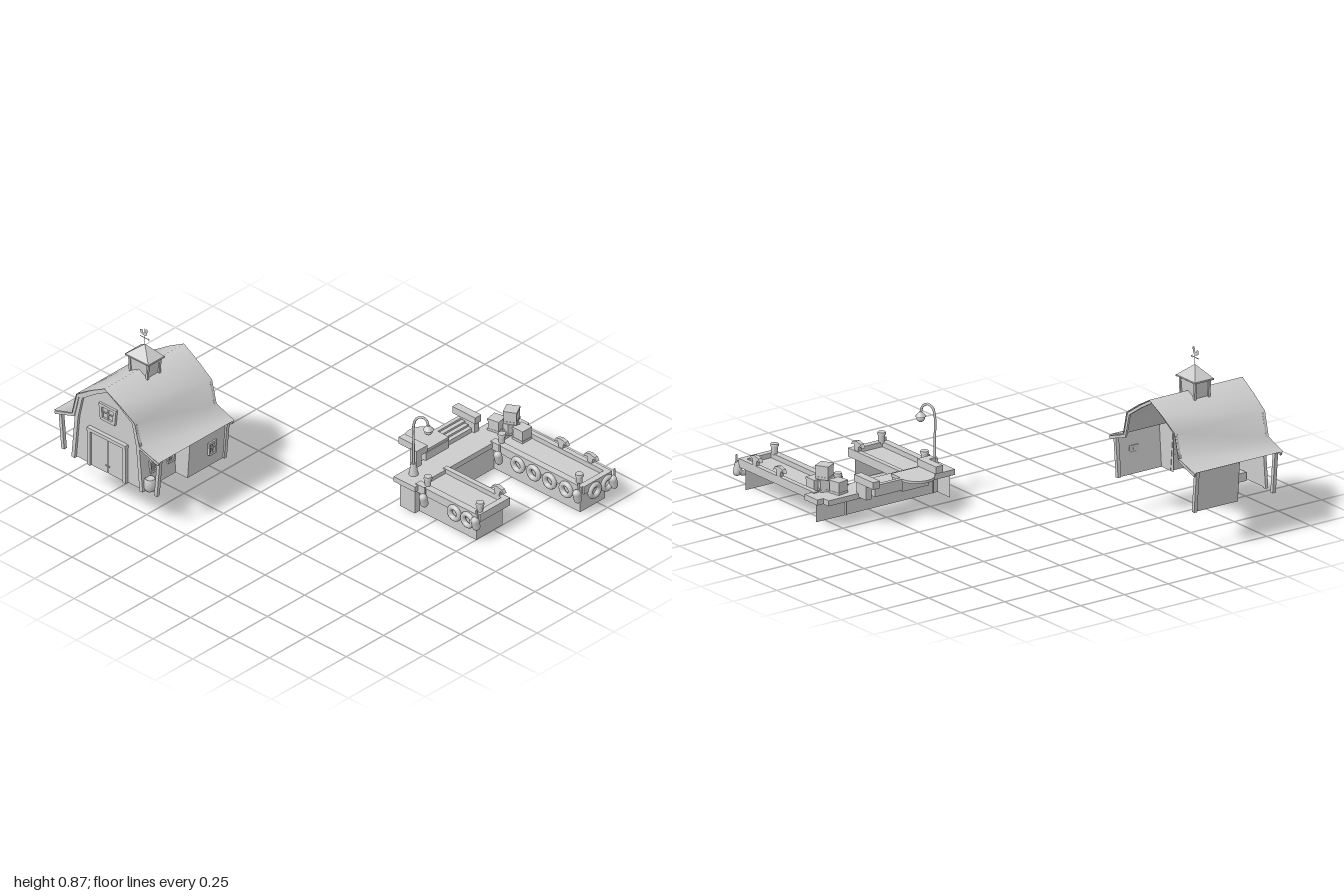
import * as THREE from 'three';

const mat = new THREE.MeshStandardMaterial({ color: 0xcccccc });
const flat = new THREE.MeshStandardMaterial({ color: 0xcccccc, flatShading: true });
const thin = new THREE.MeshStandardMaterial({ color: 0xcccccc, side: THREE.DoubleSide });

function add(parent, name, geo, x = 0, y = 0, z = 0, m = mat) {
  const mesh = new THREE.Mesh(geo, m);
  mesh.name = name;
  mesh.position.set(x, y, z);
  parent.add(mesh);
  return mesh;
}
// Box given by its min and max corners
function span(parent, name, x0, x1, y0, y1, z0, z1) {
  return add(parent, name, new THREE.BoxGeometry(x1 - x0, y1 - y0, z1 - z0),
    (x0 + x1) / 2, (y0 + y1) / 2, (z0 + z1) / 2);
}
const outline = points => new THREE.Shape(points.map(p => new THREE.Vector2(...p)));
const sheet = points => new THREE.ShapeGeometry(outline(points));
// Extruded outline of [x, y] points, from z = 0 to depth
function plate(points, depth, hole) {
  const s = outline(points);
  if (hole) s.holes.push(outline(hole));
  return new THREE.ExtrudeGeometry(s, { depth, bevelEnabled: false });
}
// Completes a right half profile that ends on the centre line
const mirror = half => [...half, ...half.slice(0, -1).reverse().map(([x, y]) => [-x, y])];
const cyl = (a, b, h, n = 10) => new THREE.CylinderGeometry(a, b, h, n);
// Straight beam between two points in the xy plane
function beam(parent, name, a, b, width, depth, z) {
  const dx = b[0] - a[0], dy = b[1] - a[1];
  const m = add(parent, name, new THREE.BoxGeometry(Math.hypot(dx, dy) + width * 0.4, width, depth),
    (a[0] + b[0]) / 2, (a[1] + b[1]) / 2, z);
  m.rotation.z = Math.atan2(dy, dx);
}
// Thin walls facing +z and +x
const wallZ = (parent, name, x0, x1, h, z) =>
  add(parent, name, new THREE.PlaneGeometry(x1 - x0, h), (x0 + x1) / 2, h / 2, z, thin);
function wallX(parent, name, z0, z1, h, x, lean = 0) {
  const geo = new THREE.PlaneGeometry(z1 - z0, h).rotateY(Math.PI / 2);
  add(parent, name, geo, x, h / 2, (z0 + z1) / 2, thin).rotation.z = lean;
}

// Small window, wider at the top, facing +z
function makeWindow(w, h) {
  const g = new THREE.Group();
  g.name = 'window';
  const q = (a, b) => [[-a * 0.42, -b / 2], [a * 0.42, -b / 2], [a / 2, b / 2], [-a / 2, b / 2]];
  add(g, 'windowFrame', plate(q(w, h), 0.012, q(w * 0.68, h * 0.66)));
  add(g, 'windowPane', sheet(q(w * 0.7, h * 0.7)), 0, 0, 0.003, thin);
  span(g, 'windowBar', -0.003, 0.003, -h * 0.34, h * 0.34, 0, 0.008);
  span(g, 'windowBar', -w * 0.34, w * 0.34, -0.003, 0.003, 0, 0.008);
  return g;
}

function makeBarrel(r, h) {
  const pts = [[0, 0], [0.8, 0], [0.95, 0.25], [1, 0.5], [0.95, 0.75], [0.8, 1], [0.7, 1], [0.7, 0.94], [0, 0.94]];
  return new THREE.LatheGeometry(pts.map(([a, b]) => new THREE.Vector2(a * r, b * h)), 12);
}

function makeBarn() {
  const g = new THREE.Group();
  g.name = 'barn';
  // Smooth gambrel roof with flared eaves, a little longer at the ridge
  const line = mirror([[0.332, 0.205], [0.215, 0.243], [0.185, 0.36], [0.09, 0.422], [0, 0.472]]).reverse();
  const roof = new THREE.PlaneGeometry(1, 1, line.length - 1, 1);
  const p = roof.attributes.position;
  for (let i = 0; i < p.count; i++) {
    const [x, y] = line[i % line.length];
    p.setXYZ(i, x, y, (i < line.length ? -1 : 1) * (0.267 - 0.04 * Math.abs(x)));
  }
  roof.computeVertexNormals();
  add(g, 'roof', roof, 0, 0, 0, thin);
  for (const z of [-0.247, 0.247]) for (let i = 0; i < line.length - 1; i++)
    beam(g, 'roofEdge', [line[i][0] * 0.98, line[i][1] - 0.011], [line[i + 1][0] * 0.98, line[i + 1][1] - 0.011], 0.014, 0.01, z);

  // Front wall with trim under the roof; the rear is open
  const gable = [[0.222, 0], [0.2, 0.23], [0.172, 0.348], [0.085, 0.408], [0, 0.455]];
  add(g, 'frontWall', sheet(mirror(gable)), 0, 0, 0.235, thin);
  for (const s of [-1, 1]) for (let i = 0; i < 4; i++)
    beam(g, 'gableTrim', [s * gable[i][0] * 0.97, gable[i][1]], [s * gable[i + 1][0] * 0.97, gable[i + 1][1]], 0.02, 0.016, 0.24);

  // Double door
  for (const s of [-1, 1]) {
    const x = s * 0.053;
    wallZ(g, 'door', x - 0.051, x + 0.051, 0.185, 0.242);
    span(g, 'doorPost', s * 0.112 - 0.008, s * 0.112 + 0.008, 0, 0.205, 0.235, 0.253);
    add(g, 'doorHandle', new THREE.SphereGeometry(0.004, 8, 6), 0.009 * s, 0.04, 0.244);
  }
  span(g, 'doorLintel', -0.122, 0.122, 0.188, 0.206, 0.235, 0.256);
  const loft = makeWindow(0.11, 0.085);
  loft.position.set(0, 0.322, 0.235);
  g.add(loft);

  // Side bays: an open porch in front, a room behind
  wallX(g, 'sideWall', 0.02, 0.235, 0.24, 0.211, 0.09);
  for (const s of [-1, 1]) {
    const room = [[0.2, 0], [0.296, 0], [0.312, 0.207], [0.2, 0.242]].map(([x, y]) => [s * x, y]);
    add(g, 'roomWall', sheet(room), 0, 0, 0.022, thin);
    wallX(g, 'roomSideWall', -0.232, 0.022, 0.21, s * 0.303, s * -0.08);
    for (const z of [-0.225, 0.225])
      beam(g, 'porchPost', [s * 0.294, 0.004], [s * 0.312, 0.2], 0.018, 0.018, z);
  }
  for (const [x, z] of [[0.302, -0.13], [0.211, 0.05], [0.211, 0.165]]) {
    const w = makeWindow(0.055, 0.068);
    w.position.set(x, 0.103, z);
    w.rotation.y = Math.PI / 2;
    g.add(w);
  }
  add(g, 'barrel', makeBarrel(0.031, 0.062), 0.235, 0, 0.21);

  // Hay bales inside
  for (const [x, y, z] of [[-0.06, 0, 0.195], [0.02, 0, 0.195], [0.1, 0, 0.195], [-0.06, 0, 0.135], [0.02, 0, 0.135], [-0.02, 0.045, 0.17]])
    add(g, 'hayBale', new THREE.BoxGeometry(0.07, 0.042, 0.05), x, y + 0.022, z);

  // Cupola, wider at the top, with a pyramid roof
  const body = add(g, 'cupola', cyl(0.08, 0.07, 0.12, 4).rotateY(Math.PI / 4), 0, 0.475, -0.005, flat);
  body.scale.z = 0.74;
  const cap = add(g, 'cupolaRoof', cyl(0.004, 0.106, 0.06, 4).rotateY(Math.PI / 4), 0, 0.56, -0.005, flat);
  cap.scale.z = 0.74;
  span(g, 'cupolaEave', -0.075, 0.075, 0.525, 0.532, -0.06, 0.05);
  for (const s of [-1, 1]) for (const z of [-0.045, 0.035])
    beam(g, 'cupolaCorner', [s * 0.052, 0.43], [s * 0.058, 0.53], 0.011, 0.011, z);

  // Flat weather vane
  const vane = new THREE.Group();
  vane.name = 'weatherVane';
  vane.position.set(0, 0.585, -0.005);
  g.add(vane);
  add(vane, 'vanePole', sheet([[-0.002, 0], [0.002, 0], [0.002, 0.092], [-0.002, 0.092]]), 0, 0, 0, thin);
  add(vane, 'vaneArm', sheet([[-0.03, 0.038], [0.02, 0.038], [0.02, 0.033], [0.032, 0.04], [0.02, 0.047], [0.02, 0.042], [-0.03, 0.042]]), 0, 0, 0, thin);
  add(vane, 'vaneRooster', sheet([[0, 0.05], [0.014, 0.06], [0.014, 0.075], [0.021, 0.079], [0.014, 0.092], [0.006, 0.088],
    [0.003, 0.07], [-0.01, 0.066], [-0.016, 0.082], [-0.03, 0.076], [-0.028, 0.06], [-0.012, 0.052]]), 0, 0, 0, thin);
  return g;
}

function makeDock() {
  const g = new THREE.Group();
  g.name = 'dock';
  // Spine deck with walls on the water side only
  wallX(g, 'spineWall', -0.8, -0.105, 0.12, 0.39);
  wallZ(g, 'spineEndWall', 0.295, 0.39, 0.12, -0.105);
  span(g, 'spineDeck', 0.26, 0.395, 0.12, 0.147, -0.825, -0.1);
  span(g, 'backLedge', 0.3, 0.4, 0.12, 0.147, -0.86, -0.82);

  // Two arms: deck, raised edges, and walls on the water side
  for (const [x1, z0, z1] of [[0.955, -0.82, -0.63], [0.77, -0.33, -0.13]]) {
    span(g, 'armDeck', 0.38, x1, 0.11, 0.128, z0, z1);
    span(g, 'armRim', 0.38, x1, 0.11, 0.152, z0, z0 + 0.025);
    span(g, 'armRim', 0.38, x1, 0.11, 0.152, z1 - 0.025, z1 + 0.01);
    span(g, 'armRim', x1 - 0.022, x1 + 0.008, 0.11, 0.152, z0, z1);
    wallZ(g, 'armFrontWall', 0.38, x1 - 0.02, 0.115, z1 - 0.005);
    wallX(g, 'armEndWall', z0 + 0.02, z1 - 0.005, 0.115, x1 - 0.02);
  }

  // Landing with steps and a round platform
  span(g, 'landing', 0.175, 0.27, 0.185, 0.2, -0.46, -0.3);
  span(g, 'landingBlock', 0.195, 0.275, 0.13, 0.188, -0.45, -0.3);
  add(g, 'roundPlatform', new THREE.CylinderGeometry(0.085, 0.085, 0.012, 24, 1, false, Math.PI, Math.PI), 0.18, 0.194, -0.38);
  span(g, 'sideBlock', 0.14, 0.285, 0.2, 0.235, -0.66, -0.62);
  span(g, 'sideBlock', 0.14, 0.285, 0.2, 0.235, -0.3, -0.26);
  span(g, 'sideFoot', 0.2, 0.275, 0.13, 0.2, -0.655, -0.625);
  span(g, 'cornerBlock', 0.245, 0.285, 0.145, 0.235, -0.26, -0.225);
  for (let i = 0; i < 4; i++)
    span(g, 'step', 0.178 + i * 0.021, 0.199 + i * 0.021, 0.145, 0.2 - i * 0.01, -0.62, -0.46);

  // Crates
  for (const [x, y, z, s, turn] of [[0.325, 0.147, -0.72, 0.062, 0.2], [0.39, 0.147, -0.75, 0.06, -0.4],
    [0.45, 0.13, -0.76, 0.065, 0], [0.392, 0.207, -0.75, 0.066, 0.5]]) {
    const c = new THREE.Group();
    c.name = 'crate';
    c.position.set(x, y, z);
    c.rotation.y = turn;
    g.add(c);
    add(c, 'crateBody', new THREE.BoxGeometry(s * 0.94, s, s * 0.94), 0, s / 2, 0);
    for (const h of [0.09, 0.91]) add(c, 'crateBand', new THREE.BoxGeometry(s, s * 0.18, s), 0, s * h, 0);
  }

  // Lamp with a curved neck and hanging lantern
  const lamp = new THREE.Group();
  lamp.name = 'lamp';
  lamp.position.set(0.312, 0.147, -0.178);
  lamp.rotation.y = 0.55;
  g.add(lamp);
  add(lamp, 'lampBase', cyl(0.012, 0.023, 0.06), 0, 0.03, 0);
  const neck = new THREE.CatmullRomCurve3([[0, 0], [0, 0.15], [0, 0.26], [0.012, 0.302], [0.037, 0.316], [0.062, 0.3], [0.07, 0.27]]
    .map(([x, y]) => new THREE.Vector3(x, y, 0)));
  add(lamp, 'lampPost', new THREE.TubeGeometry(neck, 32, 0.006, 8));
  add(lamp, 'lampShade', cyl(0.008, 0.026, 0.022, 12), 0.07, 0.263, 0);
  add(lamp, 'lampBulb', new THREE.SphereGeometry(0.02, 12, 8), 0.07, 0.244, 0);

  // Tyres on the walls
  for (const [x, z, turn] of [[0.63, -0.115, 0], [0.715, -0.115, 0], [0.56, -0.615, 0], [0.66, -0.615, 0], [0.76, -0.615, 0],
    [0.865, -0.615, 0], [0.965, -0.7, 1], [0.965, -0.785, 1]])
    add(g, 'tyre', new THREE.TorusGeometry(0.03, 0.013, 8, 16), x, 0.103, z).rotation.y = turn * Math.PI / 2;

  // Hanging fenders
  for (const [x, z] of [[0.45, -0.1], [0.76, -0.12], [0.45, -0.6], [0.94, -0.61], [0.975, -0.815]]) {
    const f = add(g, 'fender', new THREE.CapsuleGeometry(0.02, 0.035, 4, 10), x, 0.1, z);
    f.rotation.x = 0.25;
    add(g, 'fenderRope', cyl(0.005, 0.005, 0.045, 6), x, 0.145, z - 0.008);
  }

  // Mooring posts and cleats
  for (const [x, z] of [[0.425, -0.65], [0.92, -0.645], [0.43, -0.15], [0.755, -0.155]]) {
    add(g, 'mooringPost', cyl(0.017, 0.014, 0.045), x, 0.168, z);
    add(g, 'mooringCap', cyl(0.019, 0.021, 0.012), x, 0.194, z);
  }
  const arch = mirror([[0.011, 0], [0.02, 0.032], [0.042, 0.024], [0.03, 0.042], [0, 0.05]]);
  for (const [x, z] of [[0.655, -0.81], [0.84, -0.81], [0.72, -0.315]])
    add(g, 'cleat', plate(arch, 0.02), x, 0.15, z - 0.01);
  return g;
}

export function createModel() {
  const model = new THREE.Group();
  model.name = 'barnAndDock';
  const barn = makeBarn();
  barn.position.set(-0.668, 0.19, 0.59);
  model.add(barn, makeDock());
  return model;
}
